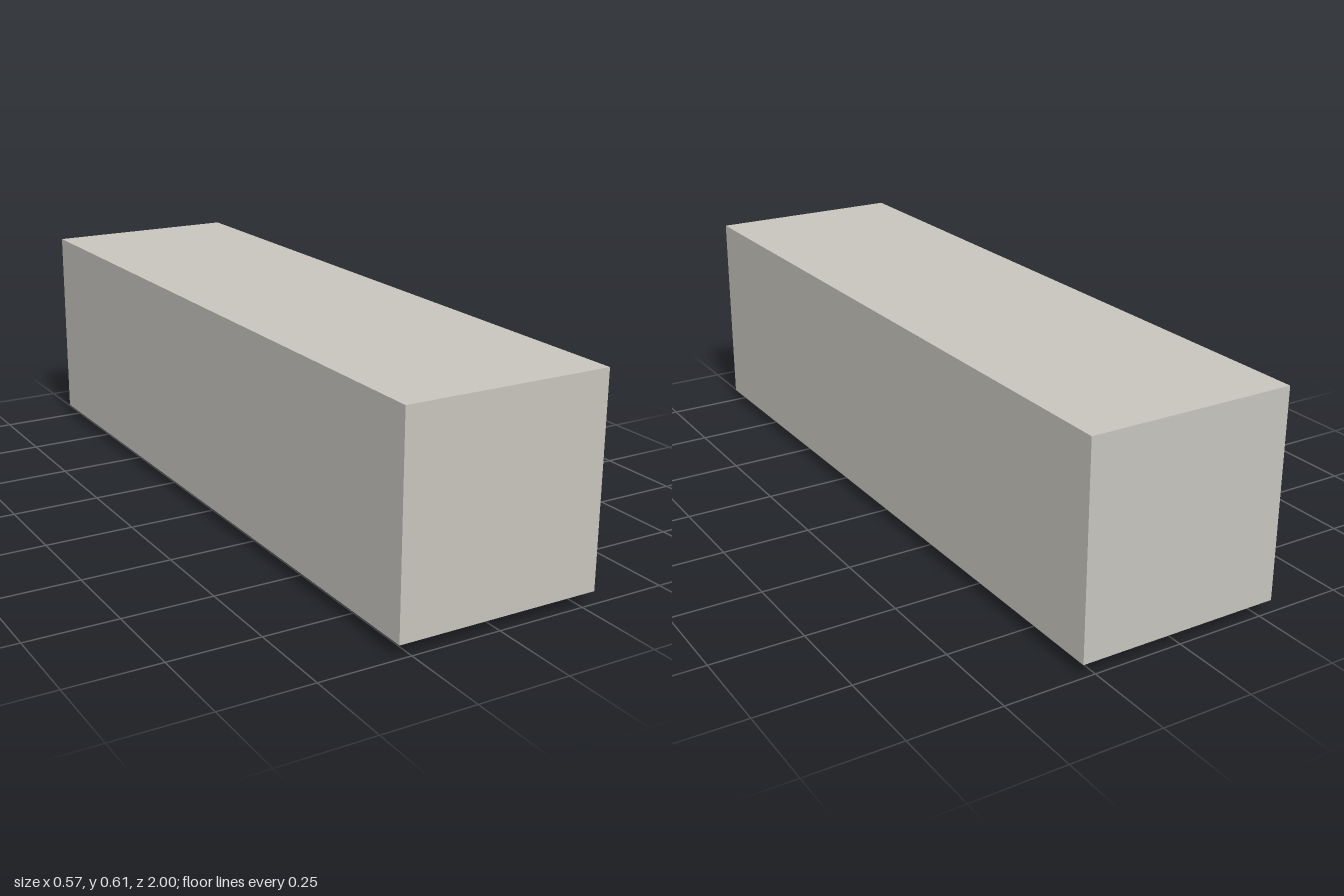
import * as THREE from 'three';

const paint = (color) => new THREE.MeshStandardMaterial({ color });

// Box given by half width in x and its ranges in y and z
function slab(name, halfX, [y0, y1], [z0, z1], material) {
  const mesh = new THREE.Mesh(new THREE.BoxGeometry(halfX * 2, y1 - y0, z1 - z0), material);
  mesh.position.set(0, (y0 + y1) / 2, (z0 + z1) / 2);
  mesh.name = name;
  return mesh;
}

function rectangle(target, hx, hz) {
  target.moveTo(-hx, -hz);
  target.lineTo(hx, -hz);
  target.lineTo(hx, hz);
  target.lineTo(-hx, hz);
  target.closePath();
  return target;
}

export function createModel() {
  const model = new THREE.Group();
  model.name = 'openBottomHousing';

  const casing = paint(0xc8c5be);
  const dark = paint(0x55595c);
  const pale = paint(0xd8d6d2);
  const metal = paint(0xb8bcbe);

  const halfX = 0.285, halfZ = 1, wall = 0.02, bottom = 0.035, top = 0.605;

  // Hollow casing, open underneath: a ring of walls closed by a lid
  const ring = rectangle(new THREE.Shape(), halfX, halfZ);
  ring.holes.push(rectangle(new THREE.Path(), halfX - wall, halfZ - wall));
  const wallGeometry = new THREE.ExtrudeGeometry(ring, { depth: top - wall - bottom, bevelEnabled: false });
  wallGeometry.rotateX(-Math.PI / 2);
  const walls = new THREE.Mesh(wallGeometry, casing);
  walls.position.y = bottom;
  walls.name = 'casingWalls';
  model.add(walls);
  model.add(slab('casingLid', halfX, [top - wall, top], [-halfZ, halfZ], casing));

  // Pale cover plate under the back
  model.add(slab('backCoverPlate', 0.262, [0.016, 0.034], [-0.95, -0.285], pale));

  // Tall dark unit in the middle, with a thin bar below its front
  model.add(slab('middleUnit', 0.24, [0.037, 0.53], [-0.19, 0.38], dark));
  model.add(slab('crossBar', 0.19, [0, 0.018], [0.335, 0.36], metal));

  // Metal front unit carrying a small dark panel
  model.add(slab('frontUnit', 0.24, [0.05, 0.25], [0.45, 0.79], metal));
  model.add(slab('frontPanel', 0.213, [0.016, 0.034], [0.485, 0.76], dark));

  return model;
}
